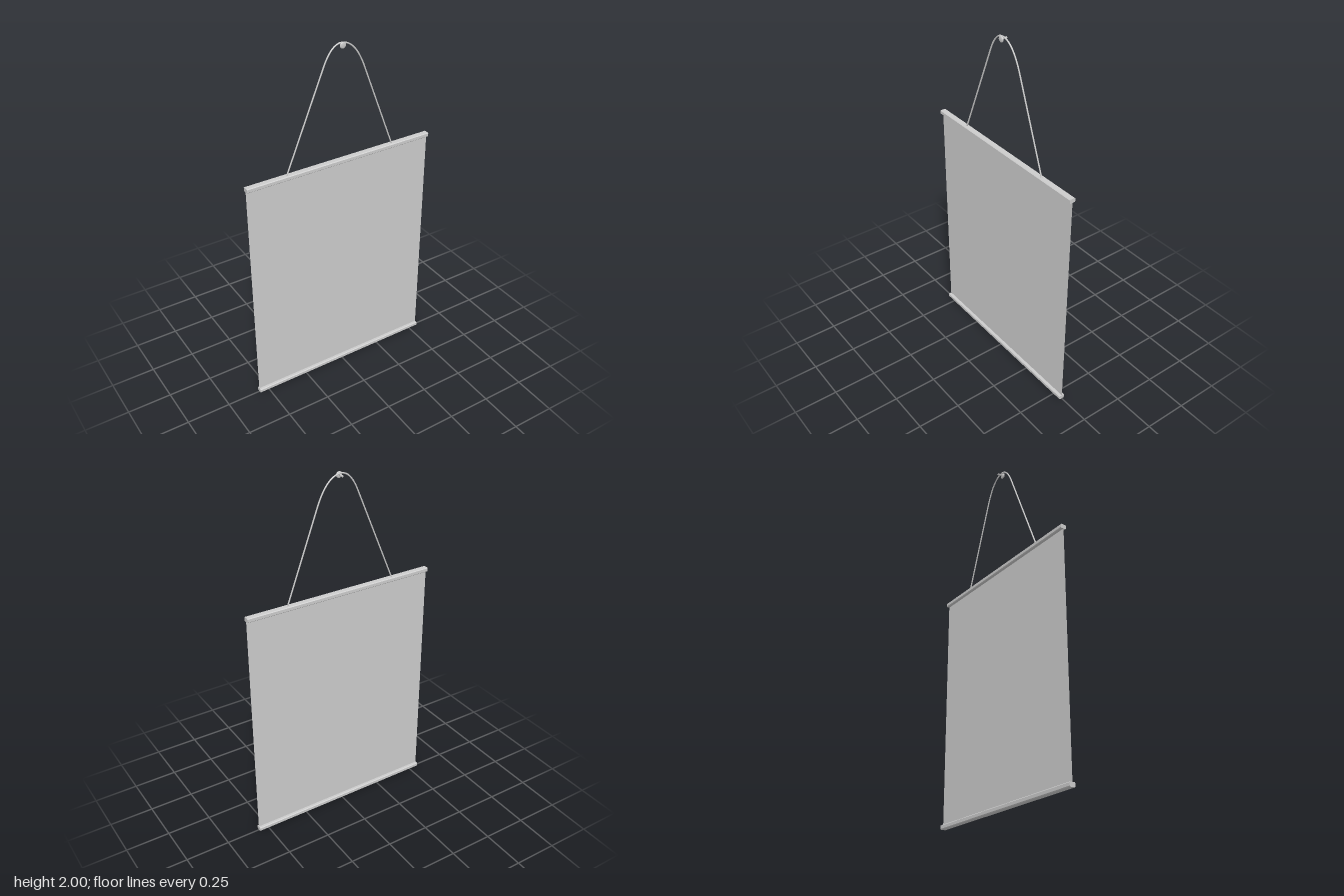
import * as THREE from 'three';

const HALF_WIDTH = 0.556, RAIL_H = 0.024, RAIL_D = 0.034, TOP = 1.363;
const grey = (options = {}) => new THREE.MeshStandardMaterial({ color: 0xcccccc, ...options });

function addMesh(group, name, geometry, material = grey()) {
  const mesh = new THREE.Mesh(geometry, material);
  mesh.name = name;
  group.add(mesh);
  return mesh;
}

// Bar along x with a chamfered rectangular section
function railGeometry() {
  const w = RAIL_D / 2, h = RAIL_H / 2, c = 0.004;
  const section = new THREE.Shape([
    [-w + c, -h], [w - c, -h], [w, -h + c], [w, h - c],
    [w - c, h], [-w + c, h], [-w, h - c], [-w, -h + c],
  ].map(([x, y]) => new THREE.Vector2(x, y)));
  return new THREE.ExtrudeGeometry(section, { depth: HALF_WIDTH * 2, bevelEnabled: false })
    .translate(0, 0, -HALF_WIDTH).rotateY(Math.PI / 2);
}

export function createModel() {
  const group = new THREE.Group();
  group.name = 'hangingBanner';

  // Thin sheet held between the two rails
  const sheetHeight = TOP - RAIL_H;
  addMesh(group, 'sheet', new THREE.PlaneGeometry(HALF_WIDTH * 2, sheetHeight),
    grey({ side: THREE.DoubleSide })).position.y = TOP / 2;

  const rail = railGeometry();
  addMesh(group, 'bottomRail', rail).position.y = RAIL_H / 2;
  addMesh(group, 'topRail', rail).position.y = TOP - RAIL_H / 2;

  // Cord: straight sides joined by a bend over the nail
  const v = (x, y) => new THREE.Vector3(x, y, 0);
  const cord = new THREE.CurvePath();
  cord.add(new THREE.LineCurve3(v(-0.324, TOP - 0.006), v(-0.1, 1.89)));
  cord.add(new THREE.QuadraticBezierCurve3(v(-0.1, 1.89), v(-0.056, 1.996), v(0, 1.996)));
  cord.add(new THREE.QuadraticBezierCurve3(v(0, 1.996), v(0.081, 1.996), v(0.138, 1.845)));
  cord.add(new THREE.LineCurve3(v(0.138, 1.845), v(0.322, TOP - 0.006)));
  addMesh(group, 'cord', new THREE.TubeGeometry(cord, 96, 0.004, 8));

  // Nail: shaft running back into the wall, with a bevelled round head
  const nail = new THREE.Group();
  nail.name = 'nail';
  nail.position.set(0.004, 1.986, 0);
  group.add(nail);
  addMesh(nail, 'nailShaft',
    new THREE.CylinderGeometry(0.005, 0.005, 0.032, 16).rotateX(Math.PI / 2).translate(0, 0, -0.006));
  const headProfile = [[0, 0.006], [0.012, 0.006], [0.017, 0.01], [0.017, 0.013], [0.012, 0.017], [0, 0.017]]
    .map(([r, y]) => new THREE.Vector2(r, y));
  addMesh(nail, 'nailHead', new THREE.LatheGeometry(headProfile, 24).rotateX(Math.PI / 2));

  return group;
}
